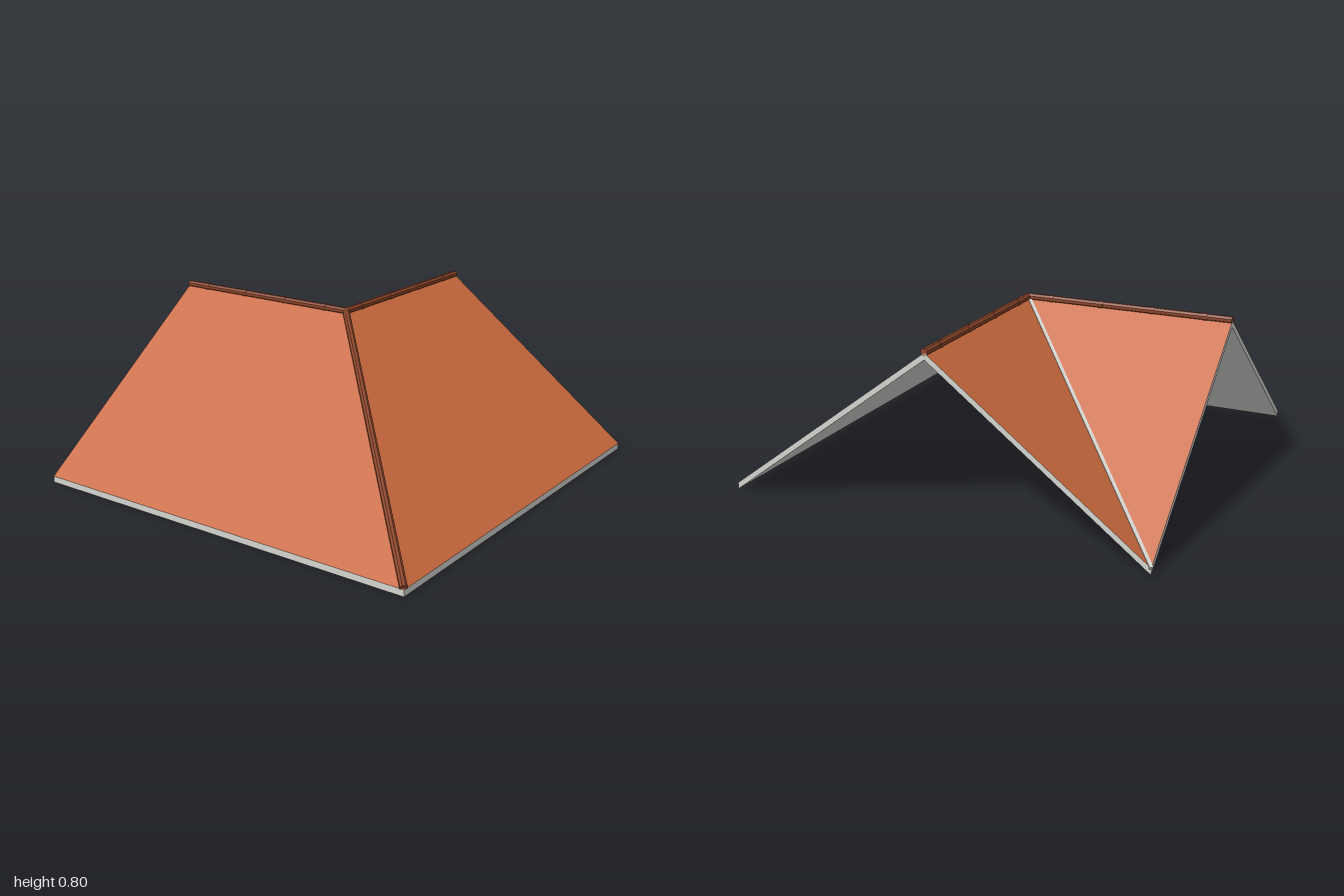
import * as THREE from 'three';

const E = 0.993;      // half span of the roof
const EAVE = 0.03;    // top of the slab at the eaves
const APEX = 0.778;   // top of the slab at the ridges
const THICK = 0.03;   // vertical slab thickness
const CAP = 0.78;     // ridge cap axis height
const R = 0.017;      // ridge cap radius

const material = (name, color) => {
  const m = new THREE.MeshStandardMaterial({ color });
  m.name = name;
  return m;
};

// Slab with sloping top (group 0) and edges plus underside (group 1).
// Corners run counterclockwise seen from above.
function slabGeometry(corners) {
  const top = corners.map((c) => new THREE.Vector3(...c));
  const bottom = top.map((p) => p.clone().setY(p.y - THICK));
  const pos = [];
  const tri = (...pts) => pts.forEach((p) => pos.push(p.x, p.y, p.z));
  const n = top.length;
  for (let i = 1; i < n - 1; i++) tri(top[0], top[i], top[i + 1]);
  const split = pos.length / 3;
  for (let i = 1; i < n - 1; i++) tri(bottom[0], bottom[i + 1], bottom[i]);
  for (let i = 0; i < n; i++) {
    const j = (i + 1) % n;
    tri(bottom[i], bottom[j], top[j]);
    tri(bottom[i], top[j], top[i]);
  }
  const g = new THREE.BufferGeometry();
  g.setAttribute('position', new THREE.Float32BufferAttribute(pos, 3));
  g.addGroup(0, split, 0);
  g.addGroup(split, pos.length / 3 - split, 1);
  g.computeVertexNormals();
  return g;
}

// Turns a mesh whose length runs along z so that it spans from a to b
function span(mesh, a, b) {
  mesh.position.copy(a).add(b).multiplyScalar(0.5);
  mesh.lookAt(b);
  return mesh;
}

export function createModel() {
  const roof = new THREE.Group();
  roof.name = 'roofCorner';
  const tile = material('terracotta tile', 0xc8683e);
  const cap = material('dark ridge tile', 0x8b4428);
  const trim = material('light grey trim', 0xd4d4d0);
  cap.flatShading = true;

  const add = (name, geometry, mat) => {
    const mesh = new THREE.Mesh(geometry, mat);
    mesh.name = name;
    roof.add(mesh);
    return mesh;
  };
  const rod = (name, a, b, r) => {
    const g = new THREE.CylinderGeometry(r, r, a.distanceTo(b), 8);
    g.rotateY(Math.PI / 8).rotateX(Math.PI / 2);
    return span(add(name, g, cap), a, b);
  };

  // Four slopes around the hip, the two ridges and the valley
  const apex = [0, APEX, 0];
  const hip = [-E, EAVE, E];
  const valley = [E, EAVE, -E];
  const ridgeX = [E, APEX, 0];
  const ridgeZ = [0, APEX, -E];
  const slopes = {
    frontSlope: [hip, [E, EAVE, E], ridgeX, apex],
    sideSlope: [hip, apex, ridgeZ, [-E, EAVE, -E]],
    innerBackSlope: [apex, ridgeX, valley],
    innerSideSlope: [apex, valley, ridgeZ],
  };
  for (const [name, corners] of Object.entries(slopes)) add(name, slabGeometry(corners), [tile, trim]);

  // Ridge caps with overlapping joints
  const top = new THREE.Vector3(0, CAP, 0);
  const directions = { ridgeCapX: new THREE.Vector3(1, 0, 0), ridgeCapZ: new THREE.Vector3(0, 0, -1) };
  for (const [name, dir] of Object.entries(directions)) {
    const at = (d) => top.clone().addScaledVector(dir, d);
    rod(name, top, at(E), R);
    for (let i = 0; i < 4; i++) {
      const d = 0.124 + i * 0.248;
      rod(name + 'Joint', at(d - 0.01), at(d + 0.01), R + 0.002);
    }
  }

  // Hip cap and the knuckle where the caps meet
  rod('hipCap', new THREE.Vector3(-0.987, 0.035, 0.987), top, R);
  add('capKnuckle', new THREE.SphereGeometry(R, 8, 6), cap).position.copy(top);

  // Valley flashing strip
  const a = new THREE.Vector3(0, APEX + 0.001, 0);
  const b = new THREE.Vector3(0.994, EAVE + 0.001, -0.994);
  span(add('valleyStrip', new THREE.BoxGeometry(0.016, 0.012, a.distanceTo(b)), trim), a, b);

  return roof;
}
